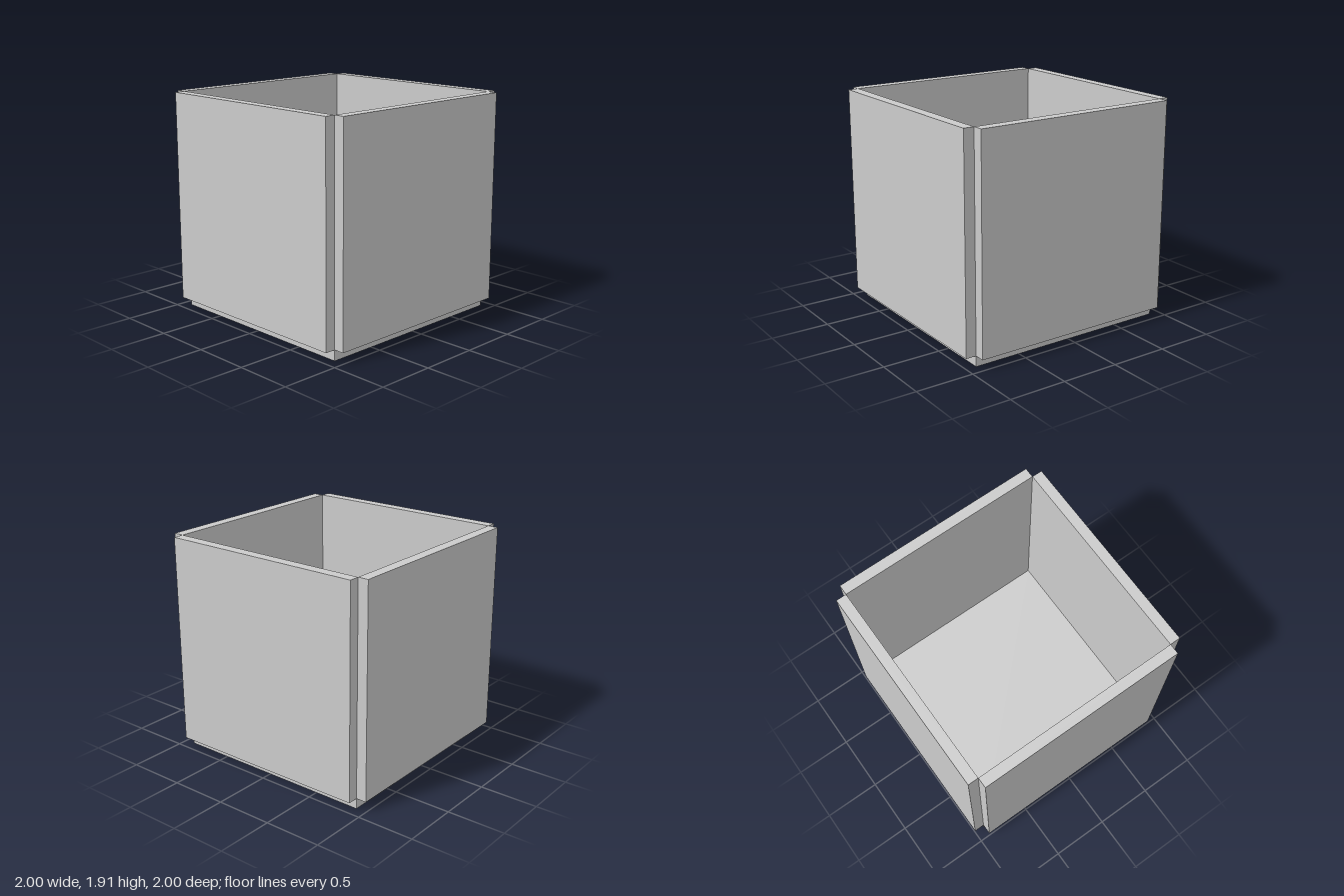
import * as THREE from 'three';

const SIZE = 1.818; // side of each square panel
const THICK = 0.091; // panel thickness

export function createModel() {
  const group = new THREE.Group();
  group.name = 'openBox';
  const material = new THREE.MeshStandardMaterial({ color: 0xcccccc, flatShading: true });

  // Floor panel
  const floor = new THREE.Mesh(new THREE.BoxGeometry(SIZE, THICK, SIZE), material);
  floor.name = 'floorPanel';
  floor.position.y = THICK / 2;
  group.add(floor);

  // Four wall panels, meeting the floor and each other only along their inner edges
  const wallGeometry = new THREE.BoxGeometry(SIZE, SIZE, THICK);
  const offset = (SIZE + THICK) / 2;
  ['frontWall', 'leftWall', 'backWall', 'rightWall'].forEach((name, i) => {
    const angle = (i * Math.PI) / 2;
    const wall = new THREE.Mesh(wallGeometry, material);
    wall.name = name;
    wall.rotation.y = angle;
    wall.position.set(Math.sin(angle) * offset, THICK + SIZE / 2, Math.cos(angle) * offset);
    group.add(wall);
  });

  return group;
}
